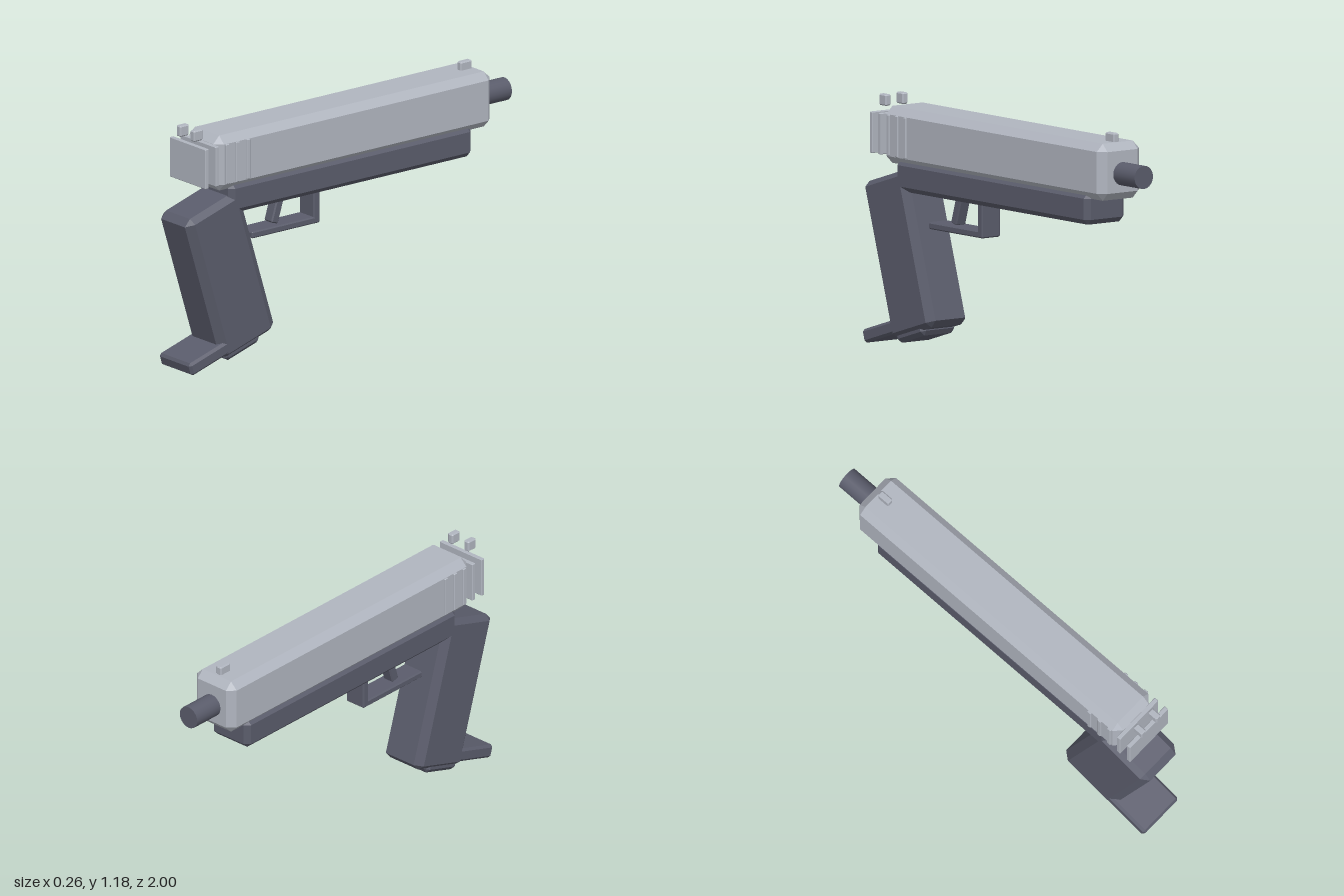
import * as THREE from 'three';
import { ConvexGeometry } from 'three/addons/geometries/ConvexGeometry.js';

const paleSteel = new THREE.MeshStandardMaterial({ color: 0xb0b5bf });
paleSteel.name = 'pale steel';
const darkPolymer = new THREE.MeshStandardMaterial({ color: 0x5a5c6b });
darkPolymer.name = 'dark polymer';

// Box with bevelled edges and corners; bevel is given per axis.
function bevelBox(w, h, d, bx, by = bx, bz = bx) {
  const pts = [];
  for (const sx of [-1, 1]) for (const sy of [-1, 1]) for (const sz of [-1, 1]) {
    const X = w / 2, Y = h / 2, Z = d / 2;
    pts.push(
      new THREE.Vector3(sx * X, sy * (Y - by), sz * (Z - bz)),
      new THREE.Vector3(sx * (X - bx), sy * Y, sz * (Z - bz)),
      new THREE.Vector3(sx * (X - bx), sy * (Y - by), sz * Z));
  }
  return new ConvexGeometry(pts);
}

function add(parent, name, geometry, material, x, y, z) {
  const mesh = new THREE.Mesh(geometry, material);
  mesh.name = name;
  mesh.position.set(x, y, z);
  parent.add(mesh);
  return mesh;
}

export function createModel() {
  const model = new THREE.Group();
  model.name = 'pistol';

  // Slide and its grip plates
  add(model, 'slide', bevelBox(0.25, 0.27, 1.67, 0.036), paleSteel, 0, 1.015, -0.003);
  for (let i = 0; i < 5; i++) {
    add(model, 'slideSerration', bevelBox(0.265, 0.195, 0.022, 0.003), paleSteel, 0, 1.016, 0.652 + i * 0.063);
  }

  // Sights
  const sight = (d) => bevelBox(0.032, 0.054, d, 0.006);
  add(model, 'frontSight', sight(0.068), paleSteel, 0, 1.164, -0.758);
  for (const s of [-1, 1]) add(model, 'rearSight', sight(0.055), paleSteel, s * 0.051, 1.164, 0.902);

  // Barrel
  const barrel = new THREE.CylinderGeometry(0.055, 0.055, 0.4, 20).rotateX(Math.PI / 2);
  add(model, 'barrel', barrel, darkPolymer, 0, 1.005, -0.8);

  // Frame under the slide
  add(model, 'frame', bevelBox(0.236, 0.15, 1.466, 0.025), darkPolymer, 0, 0.83, 0.014);

  // Trigger and its guard
  add(model, 'trigger', bevelBox(0.06, 0.16, 0.043, 0.006), darkPolymer, 0, 0.705, 0.387).rotation.x = -0.3;
  add(model, 'guardBar', bevelBox(0.11, 0.033, 0.41, 0.006), darkPolymer, 0, 0.606, 0.363);
  add(model, 'guardPost', bevelBox(0.11, 0.2, 0.038, 0.006), darkPolymer, 0, 0.695, 0.177);

  // Raked grip with a heel and a base plate
  const grip = new THREE.Group();
  grip.name = 'gripAssembly';
  grip.position.set(0, 0.454, 0.736);
  grip.rotation.x = 0.3;
  model.add(grip);
  add(grip, 'grip', bevelBox(0.236, 0.752, 0.341, 0.03, 0.025, 0.04), darkPolymer, 0, 0, 0);
  add(grip, 'gripHeel', bevelBox(0.236, 0.065, 0.306, 0.012), darkPolymer, 0, -0.322, 0.211);
  add(grip, 'basePlate', bevelBox(0.2, 0.1, 0.22, 0.02), darkPolymer, 0, -0.351, 0.034);

  return model;
}
